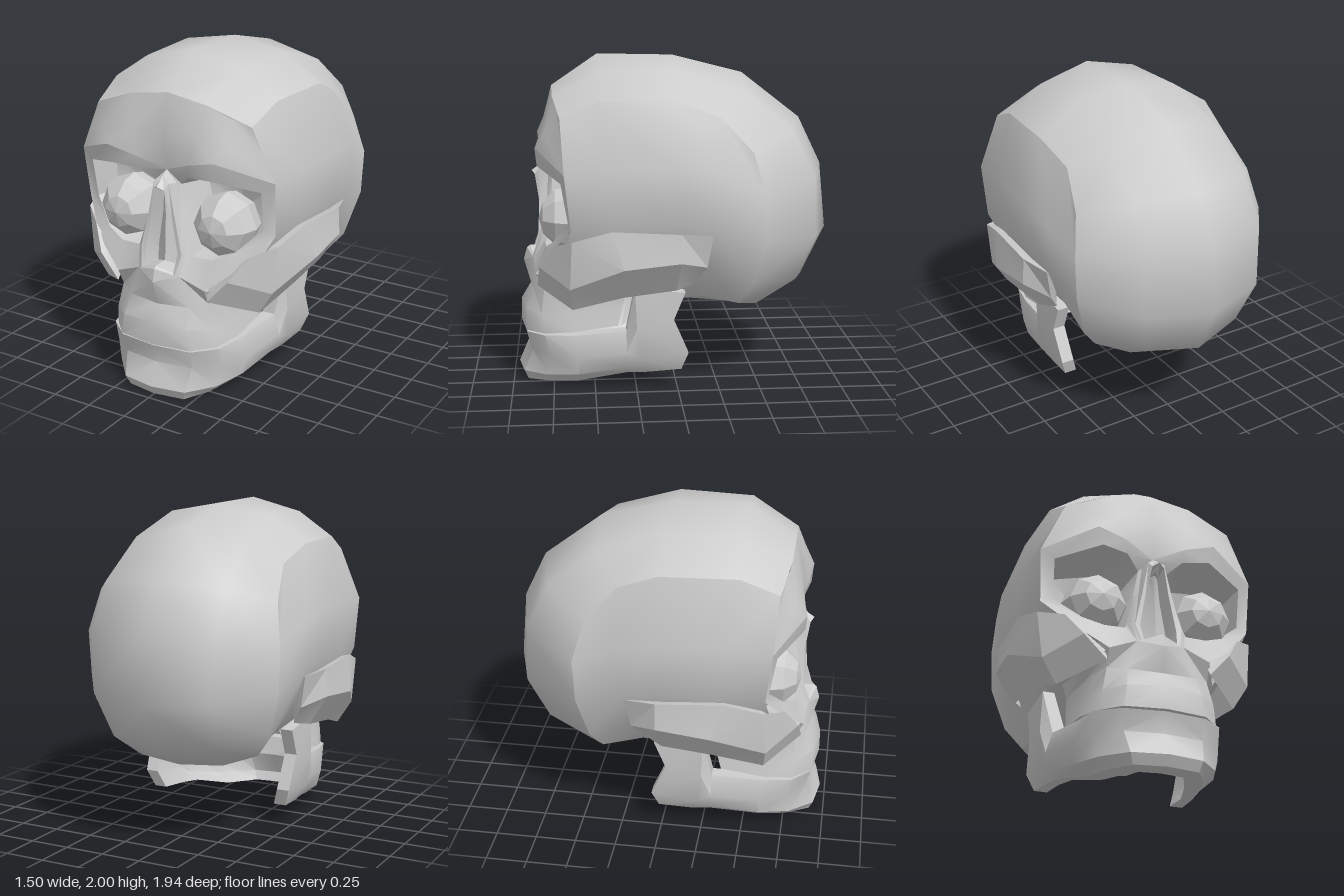
import * as THREE from 'three';
import { toCreasedNormals } from 'three/addons/utils/BufferGeometryUtils.js';

const bone = new THREE.MeshStandardMaterial({ color: 0xcccccc, side: THREE.DoubleSide });
const eyeMaterial = new THREE.MeshStandardMaterial({ color: 0xcccccc, flatShading: true });

// Skins a grid of [x, y, z] points on the left half and mirrors it to the right
function mirroredSkin(name, rows, crease = 0.65) {
  const pos = [];
  const tri = (a, b, c) => {
    const ab = new THREE.Vector3(b[0] - a[0], b[1] - a[1], b[2] - a[2]);
    const ac = new THREE.Vector3(c[0] - a[0], c[1] - a[1], c[2] - a[2]);
    if (ab.cross(ac).length() < 1e-7) return;
    pos.push(...a, ...b, ...c);
    for (const p of [a, c, b]) pos.push(-p[0], p[1], p[2]);
  };
  for (let i = 0; i < rows.length - 1; i++) {
    for (let j = 0; j < rows[i].length - 1; j++) {
      const a = rows[i][j], b = rows[i][j + 1], c = rows[i + 1][j + 1], d = rows[i + 1][j];
      tri(a, b, c);
      tri(a, c, d);
    }
  }
  const geo = new THREE.BufferGeometry();
  geo.setAttribute('position', new THREE.Float32BufferAttribute(pos, 3));
  const mesh = new THREE.Mesh(toCreasedNormals(geo, crease), bone);
  mesh.name = name;
  return mesh;
}

const closeLoop = (loop) => [...loop, loop[0]];
// Caps an end by folding the outer half of a loop onto its inner half
const capRow = (loop) => {
  const n = loop.length - 1;
  return loop.map((p, i) => p.map((v, k) => (v + loop[(2 * n - 1 - i) % n][k]) / 2));
};

// Curve where the rounded braincase meets the flat temple
const templeLine = [
  [0.52, 1.67, 0.69], [0.55, 1.77, 0.46], [0.58, 1.77, 0], [0.545, 1.67, -0.24],
  [0.60, 1.47, -0.43], [0.65, 1.22, -0.50], [0.64, 0.95, -0.49], [0.56, 0.67, -0.43],
  [0.45, 0.53, -0.37], [0.40, 0.57, -0.13], [0.33, 0.53, -0.01], [0.33, 0.68, 0.28], [0.38, 0.63, 0.66],
];
// Midline profile [y, z], from the forehead over the back to the base
const midline = [
  [1.81, 0.74], [2.0, 0.46], [1.99, 0], [1.88, -0.43], [1.60, -0.79], [1.31, -0.93], [0.90, -0.97],
  [0.59, -0.82], [0.46, -0.53], [0.50, -0.05], [0.52, 0], [0.68, 0.28], [0.62, 0.6],
].map(([y, z]) => [0, y, z]);
const sideLine = [
  [0.25, 1.77, 0.735], [0.33, 1.92, 0.45], [0.34, 1.93, 0], [0.36, 1.80, -0.40],
  [0.39, 1.57, -0.69], [0.40, 1.28, -0.83], [0.39, 0.92, -0.845], [0.33, 0.64, -0.73],
  [0.28, 0.48, -0.50], [0.22, 0.51, -0.06], [0.2, 0.53, -0.01], [0.2, 0.68, 0.28], [0.2, 0.62, 0.6],
];

// Eye socket: pairs of [face edge, socket rim], clockwise from the bridge of the nose
const socketEdges = [
  [[0, 1.36, 0.76], [0.085, 1.28, 0.74]],
  [[0.18, 1.43, 0.82], [0.17, 1.35, 0.80]],
  [[0.36, 1.475, 0.84], [0.33, 1.365, 0.83]],
  [[0.66, 1.36, 0.67], [0.58, 1.30, 0.69]],
  [[0.645, 1.04, 0.635], [0.575, 1.06, 0.65]],
  [[0.49, 0.85, 0.77], [0.43, 0.92, 0.745]],
  [[0.30, 0.70, 0.85], [0.31, 0.87, 0.785]],
  [[0.14, 0.76, 0.865], [0.185, 0.87, 0.79]],
  [[0.155, 0.88, 0.82], [0.175, 0.90, 0.785]],
  [[0.10, 1.10, 0.78], [0.125, 1.10, 0.755]],
];
const face = socketEdges.map((pair) => pair[0]);

function buildCranium() {
  const T = templeLine;
  const temple = [
    [T[0], face[3], face[4], [0.52, 0.80, 0.68], T[12]],
    [T[1], [0.69, 1.38, 0.40], [0.67, 1.05, 0.36], [0.54, 0.75, 0.33], T[11]],
    [T[2], [0.72, 1.38, 0], [0.69, 1.06, 0], [0.57, 0.78, 0], T[10]],
    [T[3], [0.69, 1.33, -0.24], [0.675, 1.03, -0.2], [0.57, 0.80, -0.16], T[9]],
    [T[4], T[5], T[6], T[7], T[8]],
  ];
  return [
    mirroredSkin('braincase', midline.map((p, i) => [p, sideLine[i], T[i]]), 0.85),
    mirroredSkin('temples', temple, 0.6),
  ];
}

function buildFace() {
  const forehead = [
    [midline[0], [0, 1.58, 0.79], face[0]],
    [sideLine[0], [0.22, 1.59, 0.795], face[1]],
    [[0.40, 1.71, 0.715], [0.42, 1.57, 0.78], face[2]],
    [templeLine[0], [0.59, 1.515, 0.68], face[3]],
  ];
  const sockets = socketEdges.map(([edge, rim]) => [
    edge, rim,
    [0.32 + (rim[0] - 0.32) * 0.85, 1.08 + (rim[1] - 1.08) * 0.85, 0.50],
    [0.32, 1.08, 0.42],
  ]);
  // Nose: face side, raised ridge, opening edge, inner wall, inner centre
  const nose = [
    [face[0], [0, 1.335, 0.80], [0, 1.285, 0.87], [0, 1.25, 0.83], [0, 1.25, 0.83]],
    [[0.07, 1.29, 0.765], [0.05, 1.30, 0.82], [0.035, 1.265, 0.85], [0.03, 1.24, 0.75], [0, 1.24, 0.79]],
    [face[9], [0.09, 1.10, 0.825], [0.07, 1.10, 0.825], [0.055, 1.10, 0.72], [0, 1.10, 0.78]],
    [face[8], [0.14, 0.88, 0.835], [0.11, 0.88, 0.83], [0.085, 0.88, 0.73], [0, 0.88, 0.79]],
    [face[7], [0.115, 0.76, 0.875], [0.10, 0.775, 0.865], [0.08, 0.78, 0.75], [0, 0.80, 0.80]],
    [[0, 0.72, 0.93], [0, 0.795, 0.91], [0, 0.81, 0.89], [0, 0.81, 0.80], [0, 0.81, 0.80]],
  ];
  return [
    mirroredSkin('forehead', forehead, 0.8),
    mirroredSkin('eyeSockets', closeLoop(sockets)),
    mirroredSkin('nose', nose, 0.5),
  ];
}

// Upper jaw: each column runs down the outside, under the edge and up to the palate
function buildUpperJaw() {
  const columns = [
    [[0, 0.72, 0.93], [0, 0.57, 0.89], [0, 0.47, 0.95], [0, 0.33, 0.95], [0, 0.34, 0.84], [0, 0.55, 0.76]],
    [face[7], [0.20, 0.58, 0.865], [0.22, 0.46, 0.915], [0.24, 0.33, 0.915], [0.17, 0.34, 0.82], [0.1, 0.55, 0.74]],
    [face[6], [0.30, 0.60, 0.80], [0.33, 0.45, 0.82], [0.35, 0.335, 0.80], [0.25, 0.34, 0.74], [0.18, 0.55, 0.7]],
    [[0.40, 0.63, 0.66], [0.36, 0.59, 0.65], [0.38, 0.45, 0.64], [0.40, 0.355, 0.63], [0.30, 0.36, 0.62], [0.22, 0.55, 0.6]],
    [[0.41, 0.68, 0.32], [0.38, 0.60, 0.31], [0.39, 0.50, 0.33], [0.40, 0.39, 0.36], [0.30, 0.395, 0.36], [0.22, 0.58, 0.33]],
  ];
  const rows = columns.map((c) => [...c, [0, c[5][1], c[5][2]]]);
  // Narrowed last row closes the back of the tooth ridge
  rows.push(rows[4].map((p, i) => (i < 4 ? [p[0] * 0.72, p[1], p[2]] : p)));
  return mirroredSkin('upperJaw', rows);
}

// Cheekbone arch: top, outer ridge, bottom and inner corner of each section
function buildCheekbones() {
  const rows = [
    [[0.53, 0.92, 0.745], [0.44, 0.775, 0.825], [0.31, 0.63, 0.84], [0.30, 0.70, 0.80]],
    [[0.66, 0.97, 0.63], [0.63, 0.68, 0.645], [0.54, 0.535, 0.63], [0.54, 0.95, 0.60]],
    [[0.71, 1.04, 0.40], [0.75, 0.82, 0.33], [0.60, 0.62, 0.33], [0.60, 1.01, 0.38]],
    [[0.725, 1.02, 0], [0.735, 0.85, 0.0], [0.61, 0.66, 0.02], [0.62, 0.99, 0]],
    [[0.67, 1.0, -0.19], [0.63, 0.80, -0.16], [0.55, 0.68, -0.08], [0.60, 0.97, -0.18]],
  ].map(closeLoop);
  return mirroredSkin('cheekbones', [capRow(rows[0]), ...rows, capRow(rows[4])], 0.4);
}

// Lower jaw: outer points of each section, and the shift [x, z] to its inner side
function buildLowerJaw() {
  const sections = [
    [[[0, 0.32, 0.94], [0, 0.20, 0.91], [0, 0.06, 0.97], [0, 0, 0.94]], [0, -0.11]],
    [[[0.24, 0.32, 0.91], [0.23, 0.20, 0.88], [0.21, 0.06, 0.935], [0.19, 0, 0.91]], [-0.05, -0.1]],
    [[[0.37, 0.33, 0.80], [0.37, 0.20, 0.77], [0.34, 0.07, 0.79], [0.28, 0.01, 0.77]], [-0.09, -0.07]],
    [[[0.41, 0.335, 0.62], [0.44, 0.20, 0.60], [0.41, 0.09, 0.60], [0.33, 0.025, 0.60]], [-0.09, -0.03]],
    [[[0.46, 0.375, 0.31], [0.50, 0.25, 0.31], [0.47, 0.15, 0.31], [0.42, 0.10, 0.31]], [-0.08, 0]],
    [[[0.51, 0.65, 0.26], [0.52, 0.40, 0.25], [0.50, 0.20, 0.22], [0.45, 0.11, 0.18]], [-0.07, 0]],
    [[[0.52, 0.62, -0.04], [0.52, 0.45, 0.03], [0.51, 0.24, -0.06], [0.47, 0.13, -0.02]], [-0.08, 0]],
  ];
  const rows = sections.map(([outer, [dx, dz]]) => {
    const inner = outer.map(([x, y, z]) => [x + dx, y, z + dz]).reverse();
    return closeLoop([...outer, ...inner]);
  });
  return mirroredSkin('lowerJaw', [...rows, capRow(rows[6])], 0.6);
}

// Faceted eyeballs with their poles facing forward
function buildEyes() {
  const geo = new THREE.SphereGeometry(0.195, 8, 6).rotateX(Math.PI / 2);
  return [1, -1].map((side) => {
    const eye = new THREE.Mesh(geo, eyeMaterial);
    eye.name = side > 0 ? 'leftEye' : 'rightEye';
    eye.position.set(side * 0.325, 1.05, 0.63);
    return eye;
  });
}

export function createModel() {
  const skull = new THREE.Group();
  skull.name = 'skull';
  skull.add(...buildCranium(), ...buildFace(), buildUpperJaw(), buildCheekbones(), buildLowerJaw(), ...buildEyes());
  return skull;
}
